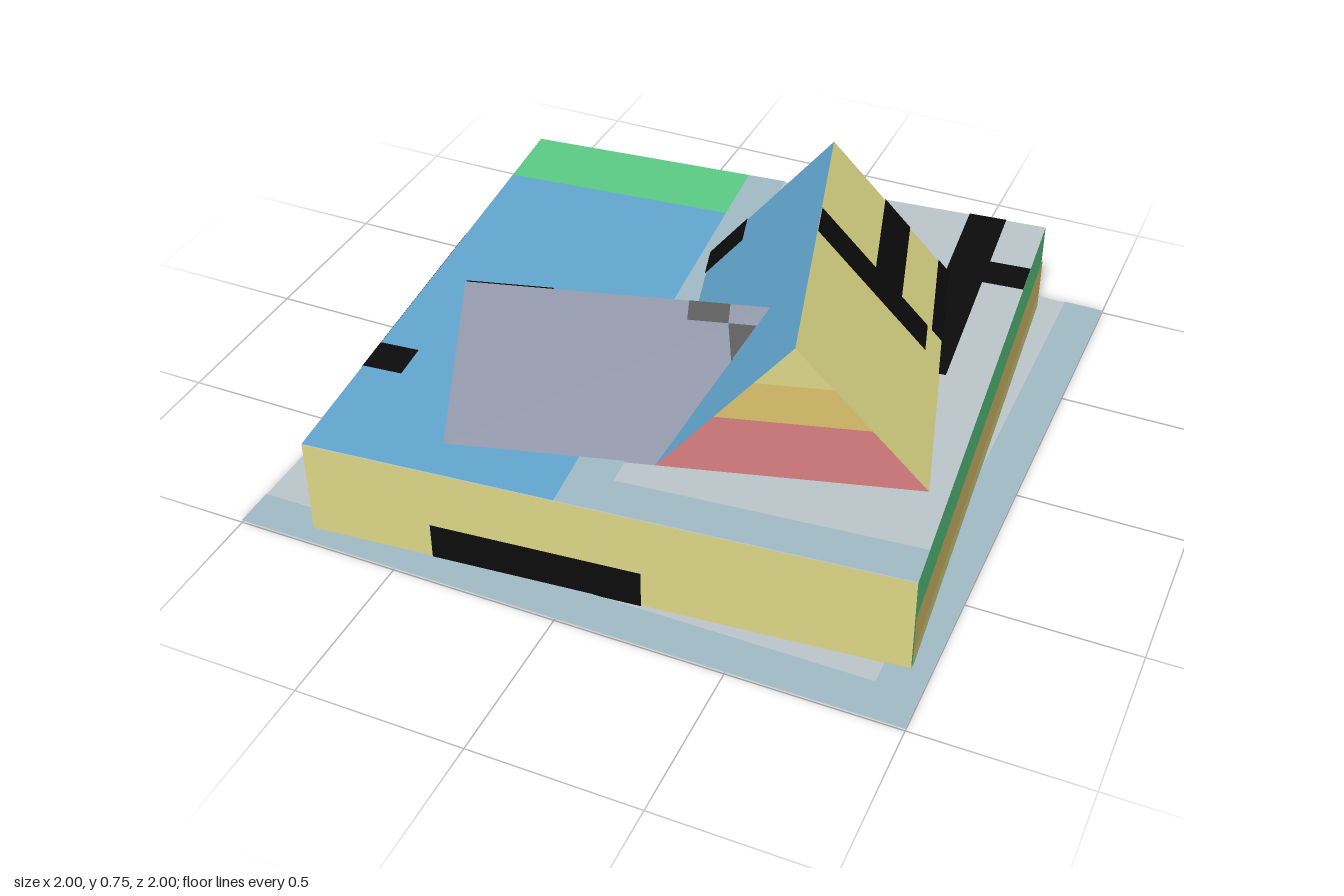
import * as THREE from 'three';

const mat = (name, color) => {
  const m = new THREE.MeshStandardMaterial({ color, side: THREE.DoubleSide });
  m.name = name;
  return m;
};

// A surface maps 2D points to 3D; the returned function adds a flat panel to it, facing out.
function surface(parent, out, map) {
  const facing = new THREE.Vector3(...out);
  return (name, material, points, lift = 0.003) => {
    let p = points.map(([a, b]) => new THREE.Vector3(...map(a, b)));
    const normal = p[1].clone().sub(p[0]).cross(p[2].clone().sub(p[0])).normalize();
    if (normal.dot(facing) < 0) {
      p.reverse();
      normal.negate();
    }
    p = p.map((v) => v.addScaledVector(normal, lift));
    const corners = [];
    for (let i = 1; i < p.length - 1; i++) corners.push(p[0], p[i], p[i + 1]);
    const geometry = new THREE.BufferGeometry().setFromPoints(corners);
    geometry.computeVertexNormals();
    const mesh = new THREE.Mesh(geometry, material);
    mesh.name = name;
    parent.add(mesh);
  };
}

const rect = (a0, b0, a1, b1) => [[a0, b0], [a1, b0], [a1, b1], [a0, b1]];

export function createModel() {
  const grey = mat('pale grey', 0xbcc5cb);
  const pale = mat('pale blue grey', 0xa1bac4);
  const black = mat('black', 0x0c0c0c);
  const blue = mat('blue', 0x62a7d0);
  const green = mat('green', 0x5ccc85);
  const yellow = mat('yellow', 0xdcd787);
  const tan = mat('tan', 0xdcc36d);
  const red = mat('red', 0xd97f81);
  const slate = mat('slate', 0x747b92);

  const model = new THREE.Group();
  const group = (name, x, z, degrees) => {
    const g = new THREE.Group();
    g.name = name;
    g.position.set(x, 0, z);
    g.rotation.y = THREE.MathUtils.degToRad(degrees);
    model.add(g);
    return g;
  };

  // Ground sheet with an L-shaped border
  const ground = group('ground', 0, 0, 0);
  const floor = surface(ground, [0, 1, 0], (x, z) => [x, 0.006, z]);
  floor('groundSheet', grey, rect(-1, -1, 1, 1), 0);
  floor('rightBorder', pale, rect(0.875, -1, 1, 1));
  floor('frontBorder', pale, rect(-1, 0.875, 0.875, 1));
  floor('groundMark', black, rect(-1, -0.5, -0.92, -0.38));

  // Square base block
  const base = group('base', 0, 0, 5);
  const S = 0.873, T = 0.3125, bottom = 0.003;
  const block = new THREE.Mesh(
    new THREE.BoxGeometry(2 * S, T - bottom, 2 * S),
    [green, slate, grey, slate, yellow, green]
  );
  block.name = 'baseBlock';
  block.position.y = (T + bottom) / 2;
  base.add(block);

  const top = surface(base, [0, 1, 0], (x, z) => [x, T, z]);
  top('topBlue', blue, rect(-S, -0.625, -0.125, S));
  top('topGreen', green, rect(-S, -S, -0.125, -0.625));
  top('topSideBand', pale, rect(-0.125, -S, 0, S));
  top('topFrontBand', pale, rect(0, 0.745, S, S));
  top('topStrip', black, rect(0.625, -S, 0.745, 0));
  top('topArm', black, rect(0.745, -0.62, S, -0.5));
  top('topMark', black, rect(-S, 0.375, -0.75, 0.495), 0.005);

  const front = surface(base, [0, 0, 1], (x, y) => [x, y, S]);
  front('frontMark', black, rect(-0.5, bottom, 0.12, 0.125));

  const right = surface(base, [1, 0, 0], (z, y) => [S, y, z]);
  right('rightTanStripe', tan, rect(-S, 0.065, S, 0.19));
  right('rightYellowStripe', yellow, rect(-S, bottom, S, 0.065));

  const back = surface(base, [0, 0, -1], (x, y) => [x, y, -S]);
  back('backBar', black, rect(-0.25, 0.25, -0.125, T));
  back('backBlock', black, rect(-0.49, 0.125, -0.25, T));
  back('backCornerMark', black, rect(0.625, 0.25, 0.745, T));

  const left = surface(base, [-1, 0, 0], (z, y) => [-S, y, z]);
  left('leftPost', black, rect(-0.25, bottom, -0.135, T));
  left('leftBar', black, rect(-0.135, 0.19, 0.375, T));
  left('leftTopMark', black, rect(0.375, 0.25, 0.495, T));
  left('leftLowBar', black, rect(0.375, 0.065, 0.75, 0.19));

  const under = surface(base, [0, -1, 0], (x, z) => [x, bottom, z]);
  under('underGreen', green, [[-S, -0.48], [-0.7, -0.55], [-0.1, 0.03], [-0.13, S], [-S, S]], 0.001);
  under('underGrey', grey, [[-0.1, 0.03], [-0.13, -0.45], [S, -0.45], [S, S], [-0.13, S]], 0.001);
  under('underPatch', green, [[0, -0.42], [0.3, -0.35], [0.62, 0.55], [0.4, 0.45]], 0.002);
  under('underStrip', black, rect(0.62, 0.25, 0.74, 0.8), 0.003);
  under('underBar', black, rect(0.36, -0.3, 0.46, 0.18), 0.003);

  // Main gable roof, ridge along z
  const roofs = group('roofs', 0.3625, 0.03, 15);
  const W = 0.373, D = 0.528, H = 0.75;
  const half = (y) => W * (H - y) / (H - T);
  const mainRight = surface(roofs, [1, 1, 0], (z, y) => [half(y), y, z]);
  mainRight('mainRoofRight', yellow, rect(-D, T, D, H), 0);
  mainRight('roofDownStroke', black, rect(-0.153, 0.37, -0.03, H));
  mainRight('roofCrossStroke', black, rect(-D, 0.465, -0.153, 0.56));
  mainRight('roofLowStroke', black, rect(-D, T, -0.153, 0.355));

  const mainLeft = surface(roofs, [-1, 1, 0], (z, y) => [-half(y), y, z]);
  mainLeft('mainRoofLeft', blue, rect(-D, T, D, H), 0);
  mainLeft('roofCornerMark', black, rect(-D, T, -0.405, 0.45));

  const gable = (y0, y1) => [[-half(y0), y0], [half(y0), y0], [half(y1), y1], [-half(y1), y1]];
  const mainFront = surface(roofs, [0, 0, 1], (x, y) => [x, y, D]);
  mainFront('frontGableRed', red, gable(T, 0.5), 0);
  mainFront('frontGableTan', tan, gable(0.5, 0.625), 0);
  mainFront('frontGableYellow', yellow, [[-half(0.625), 0.625], [half(0.625), 0.625], [0, H]], 0);
  const mainBack = surface(roofs, [0, 0, -1], (x, y) => [x, y, -D]);
  mainBack('backGable', green, [[-W, T], [W, T], [0, H]], 0);

  // Side gable roof, ridge along x, dying into the left slope of the main roof
  const L = -0.967, R = 0.627, mid = 0.184, halfB = D - mid;
  const run = (y) => halfB * (R - y) / (R - T);
  const band = (y0, y1) => [[L, y0], [-half(y0), y0], [-half(y1), y1], [L, y1]];
  const sideFront = surface(roofs, [0, 1, 1], (x, y) => [x, y, mid + run(y)]);
  sideFront('sideRoofFront', slate, band(T, R), 0);
  sideFront('ridgeMark', black, rect(-0.33, 0.59, -0.215, R));
  sideFront('valleyMark', black, [[-0.19, 0.52], [-half(0.52), 0.52], [-half(0.59), 0.59], [-0.215, 0.59]]);

  const sideBack = surface(roofs, [0, 1, -1], (x, y) => [x, y, mid - run(y)]);
  sideBack('sideRoofRedEdge', red, band(T, 0.333), 0);
  sideBack('sideRoofTanBand', tan, band(0.333, 0.418), 0);
  sideBack('sideRoofYellow', yellow, band(0.418, R), 0);
  sideBack('ridgeEndMark', black, rect(L, 0.592, -0.717, R));

  const sideEnd = surface(roofs, [-1, 0, 0], (z, y) => [L, y, z]);
  const split = 0.275, splitY = R - (R - T) * (split - mid) / halfB;
  sideEnd('sideGableSlate', slate, [[mid - halfB, T], [split, T], [split, splitY], [mid, R]], 0);
  sideEnd('sideGableRed', red, [[split, T], [D, T], [split, splitY]], 0);

  return model;
}
